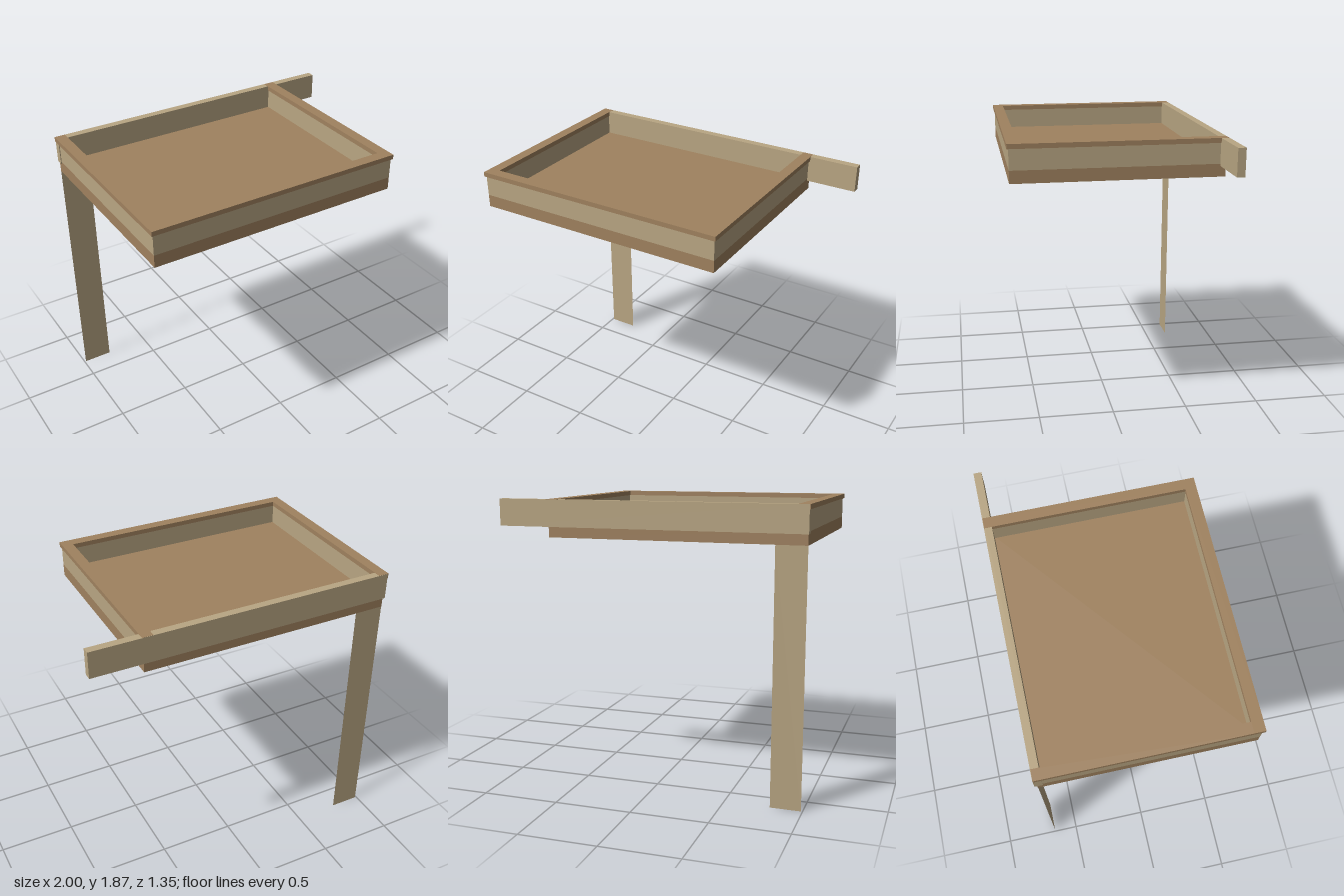
import * as THREE from 'three';

export function createModel() {
  const tan = new THREE.MeshStandardMaterial({ name: 'paleWood', color: 0xb9a683 });
  const tanSheet = new THREE.MeshStandardMaterial({ name: 'paleWoodSheet', color: 0xb9a683, side: THREE.DoubleSide });
  const brown = new THREE.MeshStandardMaterial({ name: 'brownWood', color: 0xa0825f });

  const model = new THREE.Group();
  model.name = 'trayOnPost';

  // Box given by its limits along each axis
  function box(name, material, [x0, x1], [y0, y1], [z0, z1]) {
    const mesh = new THREE.Mesh(new THREE.BoxGeometry(x1 - x0, y1 - y0, z1 - z0), material);
    mesh.position.set((x0 + x1) / 2, (y0 + y1) / 2, (z0 + z1) / 2);
    mesh.name = name;
    model.add(mesh);
  }

  // Base slab, whose top is the tray floor
  box('traySlab', brown, [-0.99, 0.665], [1.63, 1.71], [-0.66, 0.66]);

  // Low walls on three sides
  const wallY = [1.71, 1.84];
  box('frontWall', tan, [-0.99, 0.665], wallY, [0.605, 0.66]);
  box('rightWall', tan, [-0.99, -0.935], wallY, [-0.65, 0.605]);
  box('leftWall', tan, [0.61, 0.665], wallY, [-0.65, 0.605]);

  // Overhanging rim strips
  const rimY = [1.84, 1.87];
  box('frontRim', brown, [-1, 0.675], rimY, [0.6, 0.67]);
  box('rightRim', brown, [-1, -0.93], rimY, [-0.673, 0.6]);
  box('leftRim', brown, [0.605, 0.675], rimY, [-0.673, 0.6]);

  // Back beam closing the tray and running past its left side
  box('backBeam', tan, [-0.995, 1], [1.697, 1.869], [-0.675, -0.625]);

  // Flat support post
  const post = new THREE.Mesh(new THREE.PlaneGeometry(0.195, 1.63), tanSheet);
  post.name = 'supportPost';
  post.position.set(-0.8925, 0.815, -0.658);
  model.add(post);

  return model;
}
